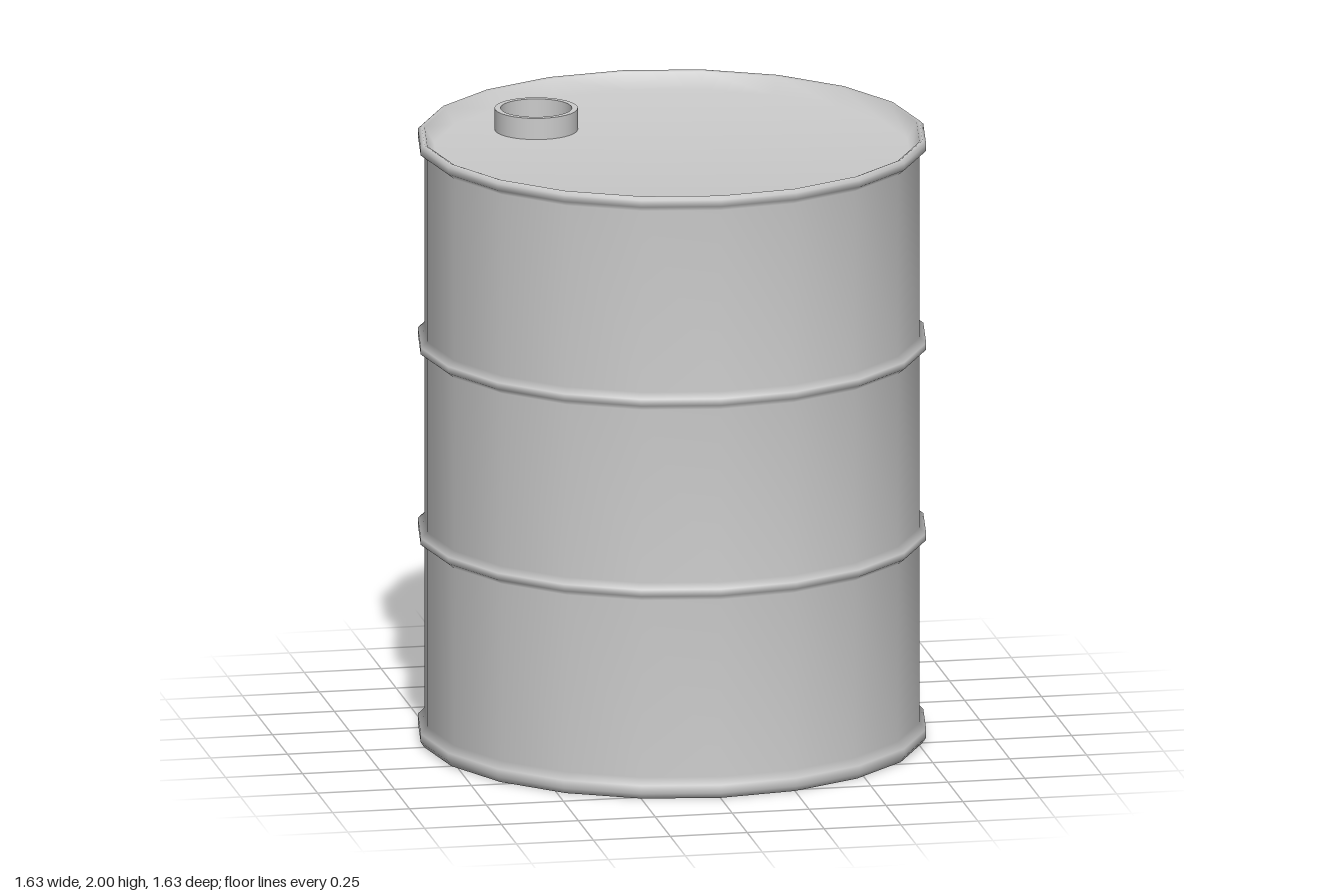
import * as THREE from 'three';
import { mergeVertices } from 'three/addons/utils/BufferGeometryUtils.js';

const grey = new THREE.MeshStandardMaterial({ color: 0xcccccc });

// Revolves [radius, height] pairs; a repeated pair makes a sharp edge.
function revolve(profile, sides) {
  const points = profile.map(([r, y]) => new THREE.Vector2(r, y));
  return new THREE.LatheGeometry(points, sides);
}

// Welds all corners so the shading runs smoothly over the whole surface.
function weld(geometry) {
  geometry.deleteAttribute('uv');
  geometry.deleteAttribute('normal');
  const welded = mergeVertices(geometry, 1e-4);
  welded.computeVertexNormals();
  return welded;
}

export function createModel() {
  const model = new THREE.Group();
  model.name = 'drum';

  const wall = 0.795, rim = 0.817, height = 1.986, lidY = 1.93;

  // Rolled hoop bulging out of the wall, centred on height y
  const hoop = (y) => [
    [wall, y - 0.029], [rim, y - 0.011], [rim, y + 0.011], [wall, y + 0.029],
  ];

  // Sunken base and lid inside rolled rims, wall with two hoops
  const body = new THREE.Mesh(weld(revolve([
    [0, 0.056], [0.765, 0.056], [0.795, 0.004], [0.805, 0],
    [rim, 0.018], [rim, 0.045], [wall, 0.067],
    ...hoop(0.68), ...hoop(1.308),
    [wall, 1.935], [rim, 1.953], [rim, 1.975], [0.805, height],
    [0.795, height - 0.004], [0.765, lidY], [0, lidY],
  ], 20)), grey);
  body.name = 'body';
  model.add(body);

  // Open filler neck
  const ro = 0.133, ri = 0.114, top = 2;
  const neck = new THREE.Mesh(revolve([
    [ro, lidY - 0.01], [ro, top], [ro, top], [ri, top], [ri, top], [ri, lidY - 0.01],
  ], 32), grey);
  neck.name = 'fillerNeck';
  neck.position.set(-0.375, 0, -0.34);
  model.add(neck);

  return model;
}
